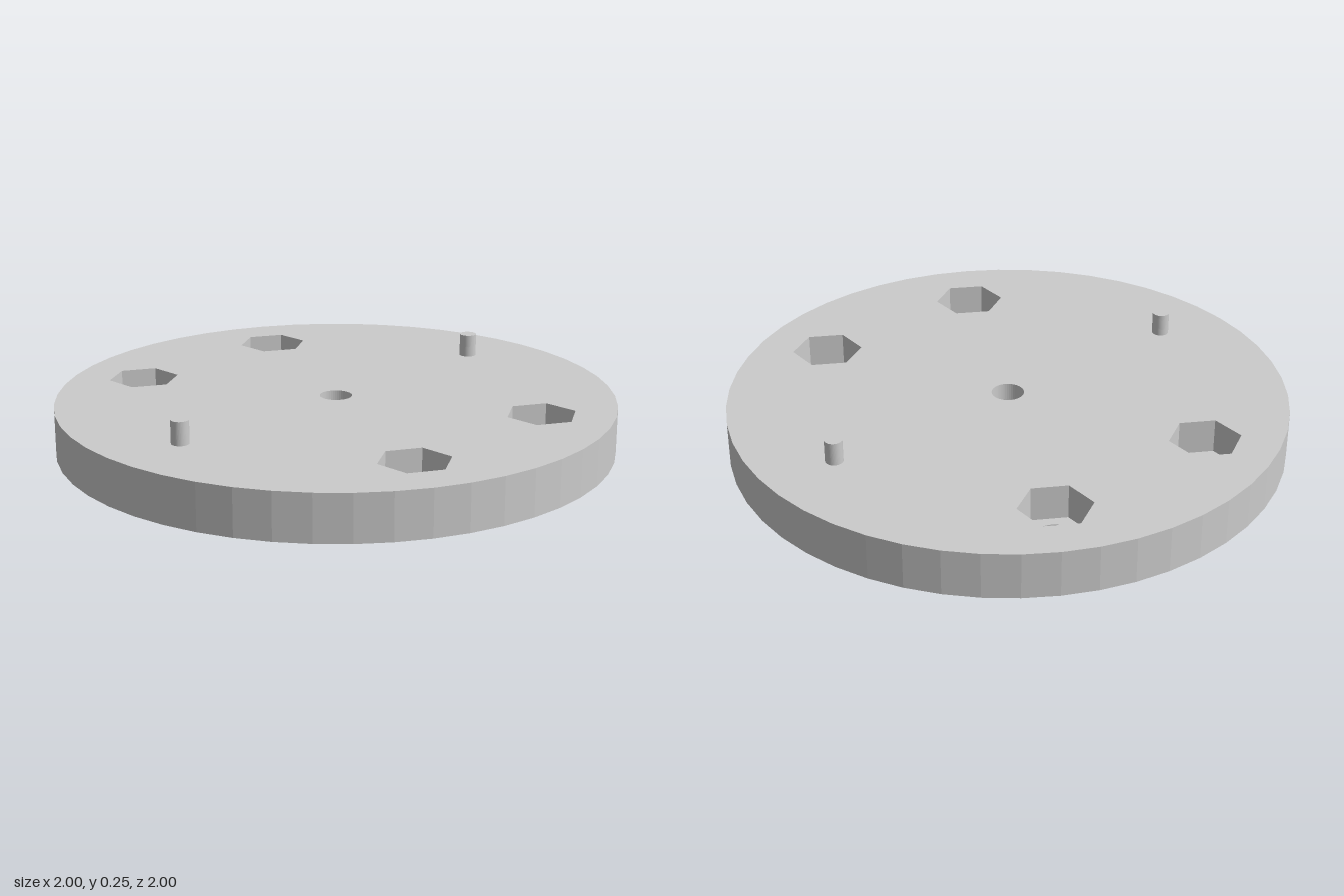
import * as THREE from 'three';

const SIDES = 50;
const HEIGHT = 0.167;
const material = new THREE.MeshStandardMaterial({ color: 0xcccccc, flatShading: true });

// Corners of a regular polygon, the first one on the +x side of (x, y)
function ring(radius, sides = SIDES, x = 0, y = 0) {
  return Array.from({ length: sides }, (_, i) => {
    const a = (i / sides) * Math.PI * 2;
    return new THREE.Vector2(x + radius * Math.cos(a), y + radius * Math.sin(a));
  });
}

function addMesh(parent, name, geometry) {
  const mesh = new THREE.Mesh(geometry, material);
  mesh.name = name;
  parent.add(mesh);
  return mesh;
}

// Flat horizontal face with holes, looking up or down
function addFace(parent, name, outline, holes, y, up) {
  const shape = new THREE.Shape(outline);
  holes.forEach((h) => shape.holes.push(new THREE.Path(h)));
  const geometry = new THREE.ShapeGeometry(shape);
  geometry.rotateX(up ? -Math.PI / 2 : Math.PI / 2);
  addMesh(parent, name, geometry).position.y = y;
}

// Upright wall between two heights; a bore's wall faces its own axis
function addWall(parent, name, radius, y0, y1, sides = SIDES, bore = false) {
  let geometry = new THREE.CylinderGeometry(radius, radius, y1 - y0, sides, 1, true);
  geometry.rotateY(Math.PI / 2);
  if (bore) {
    geometry.scale(-1, 1, 1);
    geometry = geometry.toNonIndexed();
    geometry.computeVertexNormals();
  }
  addMesh(parent, name, geometry).position.y = (y0 + y1) / 2;
}

export function createModel() {
  const model = new THREE.Group();
  model.name = 'mountingDisc';

  const boltX = 0.667, boltZ = 0.333, boltR = 0.075;
  const nutR = 0.127, nutFloor = 0.042;
  const centreR = 0.058, counterboreR = 0.118, counterboreTop = 0.104;
  const spots = [[1, 1], [1, -1], [-1, 1], [-1, -1]].map(([a, b]) => [a * boltX, b * boltZ]);

  // Disc body
  const disc = new THREE.Group();
  disc.name = 'disc';
  model.add(disc);
  addWall(disc, 'rim', 1, 0, HEIGHT);
  addFace(disc, 'topFace', ring(1),
    [ring(centreR), ...spots.map(([x, z]) => ring(nutR, 6, x, z))], HEIGHT, true);
  addFace(disc, 'bottomFace', ring(1),
    [ring(counterboreR), ...spots.map(([x, z]) => ring(boltR, SIDES, x, z))], 0, false);

  // Stepped centre bore, wide from below
  const bore = new THREE.Group();
  bore.name = 'centreBore';
  model.add(bore);
  addWall(bore, 'counterboreWall', counterboreR, 0, counterboreTop, SIDES, true);
  addFace(bore, 'counterboreStep', ring(counterboreR), [ring(centreR)], counterboreTop, false);
  addWall(bore, 'boreWall', centreR, counterboreTop, HEIGHT, SIDES, true);

  // Hexagonal nut pockets over round bolt holes
  for (const [x, z] of spots) {
    const pocket = new THREE.Group();
    pocket.name = 'nutPocket';
    pocket.position.set(x, 0, z);
    model.add(pocket);
    addWall(pocket, 'pocketWall', nutR, nutFloor, HEIGHT, 6, true);
    addFace(pocket, 'pocketFloor', ring(nutR, 6), [ring(boltR)], nutFloor, true);
    addWall(pocket, 'boltHoleWall', boltR, 0, nutFloor, SIDES, true);
  }

  // Locating pins
  for (const side of [1, -1]) {
    const pin = new THREE.Group();
    pin.name = 'locatingPin';
    pin.position.z = side * 0.74;
    model.add(pin);
    addWall(pin, 'pinWall', 0.031, HEIGHT, 0.25);
    addFace(pin, 'pinTop', ring(0.031), [], 0.25, true);
  }

  return model;
}
